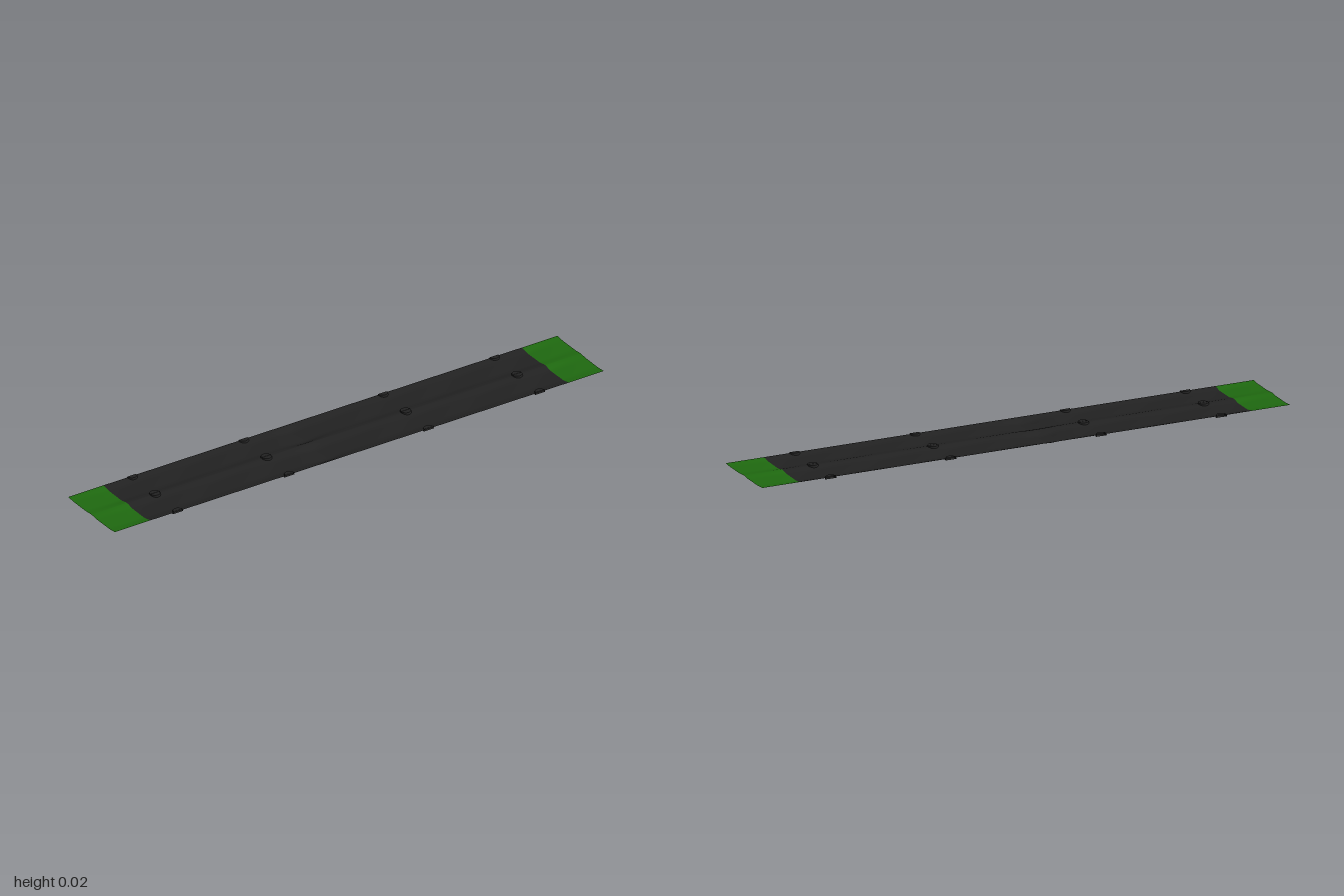
import * as THREE from 'three';

const HALF = 0.144;      // half of the full width (two lanes)
const SPLIT = 0.855;     // where the dark bed meets the green ends
const DARK = new THREE.MeshStandardMaterial({ color: 0x222222, side: THREE.DoubleSide });
const GREEN = new THREE.MeshStandardMaterial({ color: 0x1f6a10, side: THREE.DoubleSide });

const smooth = (a, b, v) => THREE.MathUtils.smoothstep(v, a, b);

// Height of a lane: raised rims, a gently sunken bed and a few shallow hollows
function height(x, v) {
  const bed = smooth(0, 0.25, v) * (1 - smooth(0.75, 1, v));
  const taper = 1 - smooth(0.82, 1, Math.abs(x));
  const ripple = 0.0008 * Math.sin(x * 23 + v * 4);
  const hollow = Math.exp(-(((x + 0.11) / 0.06) ** 2));
  return 0.0145 - bed * (0.003 + 0.003 * taper + ripple * taper + 0.0083 * hollow);
}

// Thin sheet covering one lane between x0 and x1
function sheet(name, x0, x1, z0, z1, material) {
  const segments = Math.max(8, Math.round((x1 - x0) * 60));
  const geometry = new THREE.PlaneGeometry(x1 - x0, z1 - z0, segments, 16);
  geometry.rotateX(-Math.PI / 2);
  geometry.translate((x0 + x1) / 2, 0, (z0 + z1) / 2);
  const p = geometry.attributes.position;
  for (let i = 0; i < p.count; i++) {
    p.setY(i, height(p.getX(i), (p.getZ(i) - z0) / (z1 - z0)));
  }
  geometry.computeVertexNormals();
  const mesh = new THREE.Mesh(geometry, material);
  mesh.name = name;
  return mesh;
}

// Half-round stud sitting against a lane rim; side is the z direction it bulges to
function stud(x, z, side) {
  const geometry = new THREE.CylinderGeometry(0.018, 0.021, 0.009, 8, 1, false, -Math.PI / 2, Math.PI);
  const mesh = new THREE.Mesh(geometry, DARK);
  mesh.position.set(x, 0.0135, z);
  if (side < 0) mesh.rotation.y = Math.PI;
  mesh.name = 'rimStud';
  return mesh;
}

export function createModel() {
  const group = new THREE.Group();
  group.name = 'twoLaneStrip';
  for (const [z0, z1] of [[-HALF, 0], [0, HALF]]) {
    const lane = new THREE.Group();
    lane.name = z0 < 0 ? 'backLane' : 'frontLane';
    lane.add(
      sheet('darkBed', -SPLIT, SPLIT, z0, z1, DARK),
      sheet('rightGreenEnd', -1, -SPLIT, z0, z1, GREEN),
      sheet('leftGreenEnd', SPLIT, 1, z0, z1, GREEN)
    );
    // Studs along both rims of the lane
    for (const x of [-0.74, -0.285, 0.285, 0.74]) {
      lane.add(stud(x, z0 + 0.0005, 1), stud(x, z1 - 0.0005, -1));
    }
    group.add(lane);
  }
  return group;
}
